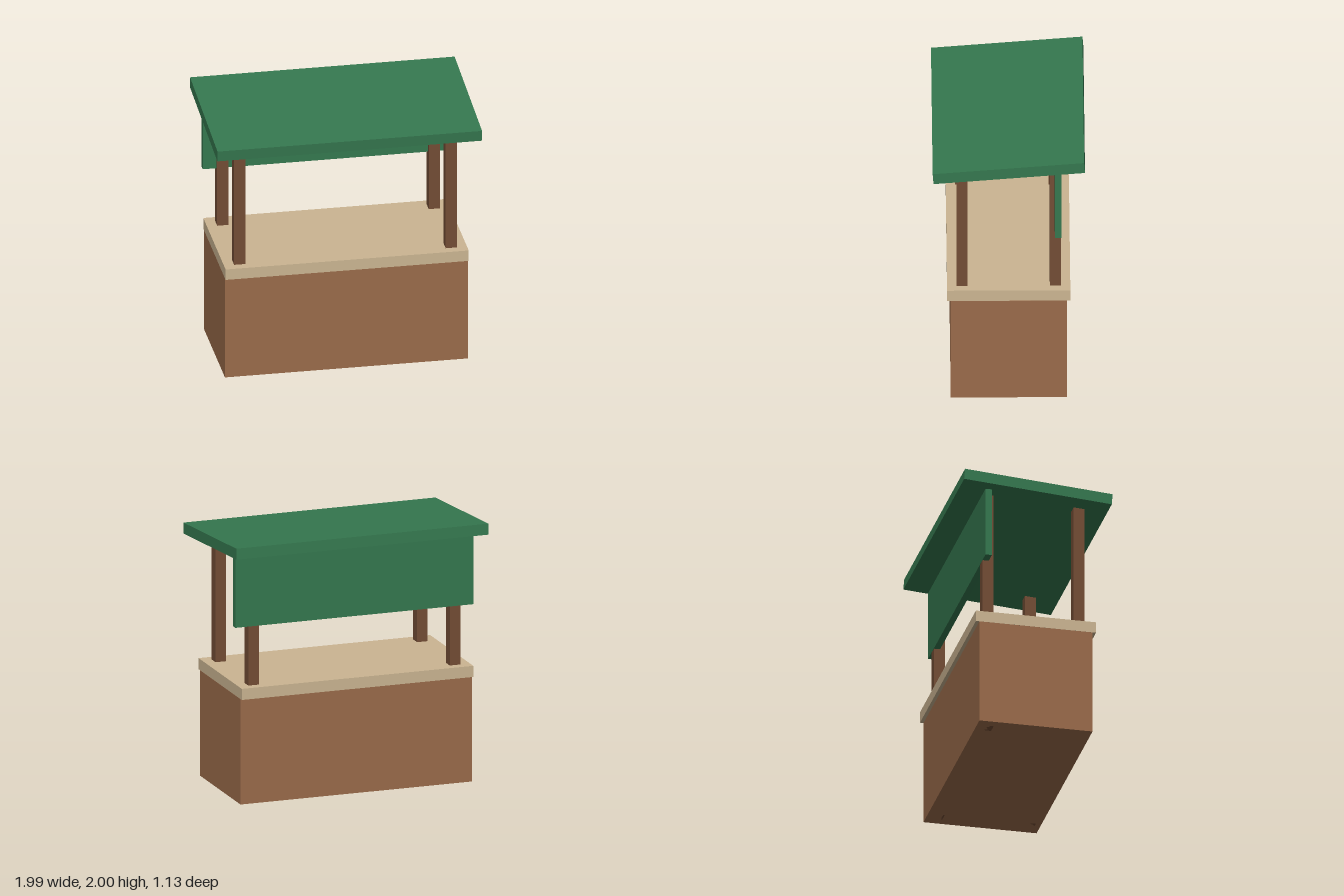
import * as THREE from 'three';

const material = (name, color) => {
  const m = new THREE.MeshStandardMaterial({ color });
  m.name = name;
  return m;
};

export function createModel() {
  const stall = new THREE.Group();
  stall.name = 'marketStall';

  const wood = material('brown wood', 0x9a6b4a);
  const darkWood = material('dark wood', 0x734d35);
  const paleWood = material('pale wood', 0xcbb592);
  const green = material('green canopy', 0x35784f);

  const addBox = (name, mat, [w, h, d], [x, y, z]) => {
    const mesh = new THREE.Mesh(new THREE.BoxGeometry(w, h, d), mat);
    mesh.name = name;
    mesh.position.set(x, y, z);
    stall.add(mesh);
    return mesh;
  };

  // Counter body and its worktop, which overhangs front and back
  addBox('counterBase', wood, [1.825, 0.807, 0.857], [0, 0.4035, 0]);
  addBox('counterTop', paleWood, [1.825, 0.085, 0.91], [0, 0.85, 0]);

  // Four posts running from the ground to the roof
  for (const [side, x] of [['Left', 0.794], ['Right', -0.794]]) {
    for (const [end, z] of [['front', 0.345], ['back', -0.345]]) {
      addBox(`${end}${side}Post`, darkWood, [0.083, 1.88, 0.083], [x, 0.94, z]);
    }
  }

  // Hanging panel behind the back posts
  addBox('backPanel', green, [1.875, 0.535, 0.048], [0, 1.6125, -0.364]);

  // Roof sloping down toward the front
  const roof = addBox('roof', green, [1.986, 0.083, 1.122], [0, 1.914, 0]);
  roof.rotation.x = 0.08;

  return stall;
}
